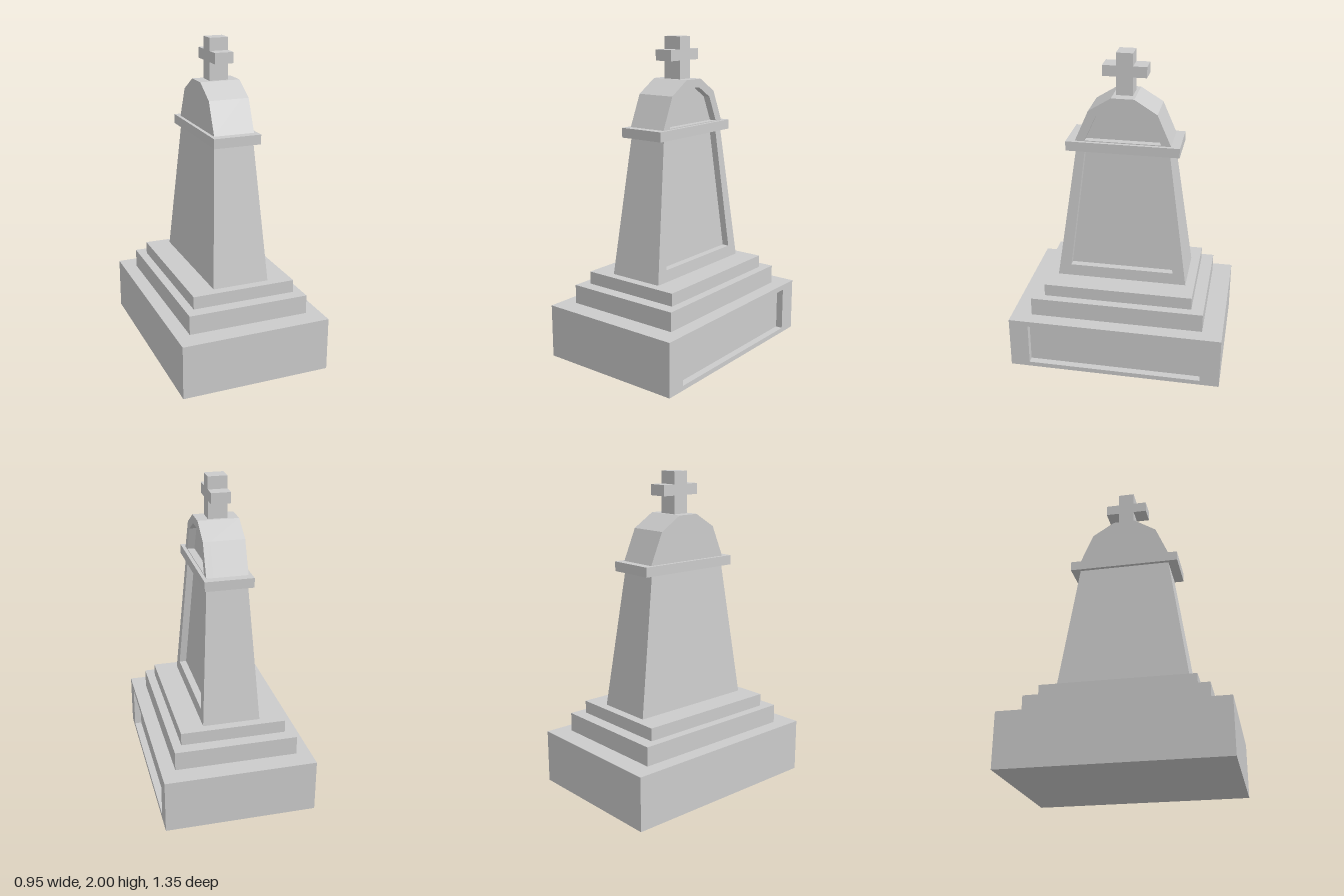
import * as THREE from 'three';

const material = new THREE.MeshStandardMaterial({ color: 0xcccccc });

// Mirrors a half outline of [z, y] points across z = 0
const mirrored = (half) => [...half, ...half.slice().reverse().map(([z, y]) => [-z, y])];
const toPoints = (list) => list.map(([z, y]) => new THREE.Vector2(z, y));

// Extrudes a [z, y] outline along x from x0 to x1; both sides lean inward by taper above y = baseY
function slab(name, outline, x0, x1, { hole, taper = 0, baseY = 0 } = {}) {
  const shape = new THREE.Shape(toPoints(outline));
  if (hole) shape.holes.push(new THREE.Path(toPoints(hole)));
  const geometry = new THREE.ExtrudeGeometry(shape, { depth: x1 - x0, bevelEnabled: false });
  geometry.rotateY(Math.PI / 2).translate(x0, 0, 0);
  const p = geometry.attributes.position;
  for (let i = 0; i < p.count; i++) {
    p.setX(i, p.getX(i) - Math.sign(p.getX(i)) * taper * (p.getY(i) - baseY));
  }
  geometry.computeVertexNormals();
  const mesh = new THREE.Mesh(geometry, material);
  mesh.name = name;
  return mesh;
}

function block(name, halfX, y0, y1, halfZ) {
  const mesh = new THREE.Mesh(new THREE.BoxGeometry(halfX * 2, y1 - y0, halfZ * 2), material);
  mesh.position.y = (y0 + y1) / 2;
  mesh.name = name;
  return mesh;
}

export function createModel() {
  const model = new THREE.Group();
  model.name = 'monument';
  const depth = 0.045; // depth of the sunken panels on the +x side

  // Plinth with a sunken rectangular panel
  const plinth = mirrored([[0.677, 0], [0.677, 0.34]]);
  const plinthPanel = mirrored([[0.554, 0.03], [0.554, 0.305]]);
  model.add(slab('plinth', plinth, -0.475, 0.475 - depth));
  model.add(slab('plinthFrame', plinth, 0.475 - depth, 0.475, { hole: plinthPanel }));

  // Steps
  model.add(block('lowerStep', 0.385, 0.34, 0.46, 0.55));
  model.add(block('upperStep', 0.33, 0.46, 0.54, 0.472));

  // Tapered shaft, its panel running up to the cornice
  const lean = { taper: 0.062, baseY: 0.54 };
  const shaft = mirrored([[0.415, 0.54], [0.29, 1.4]]);
  const shaftFrame = mirrored([[0.415, 0.54], [0.29, 1.4], [0.235, 1.4], [0.33, 0.615]]);
  model.add(slab('shaft', shaft, -0.18, 0.18 - depth, lean));
  model.add(slab('shaftFrame', shaftFrame, 0.18 - depth, 0.18, lean));

  // Cornice
  model.add(block('cornice', 0.15, 1.4, 1.46, 0.35));

  // Faceted arched head with a sunken panel
  const head = mirrored([[0.295, 1.46], [0.21, 1.655], [0.07, 1.742]]);
  const headPanel = mirrored([[0.235, 1.465], [0.165, 1.622], [0.055, 1.69]]);
  model.add(slab('head', head, -0.128, 0.128 - depth));
  model.add(slab('headFrame', head, 0.128 - depth, 0.128, { hole: headPanel }));

  // Cross
  const cross = mirrored([
    [0.051, 1.742], [0.051, 1.855], [0.135, 1.855], [0.135, 1.922], [0.051, 1.922], [0.051, 2],
  ]);
  model.add(slab('cross', cross, -0.06, 0.06));

  return model;
}
